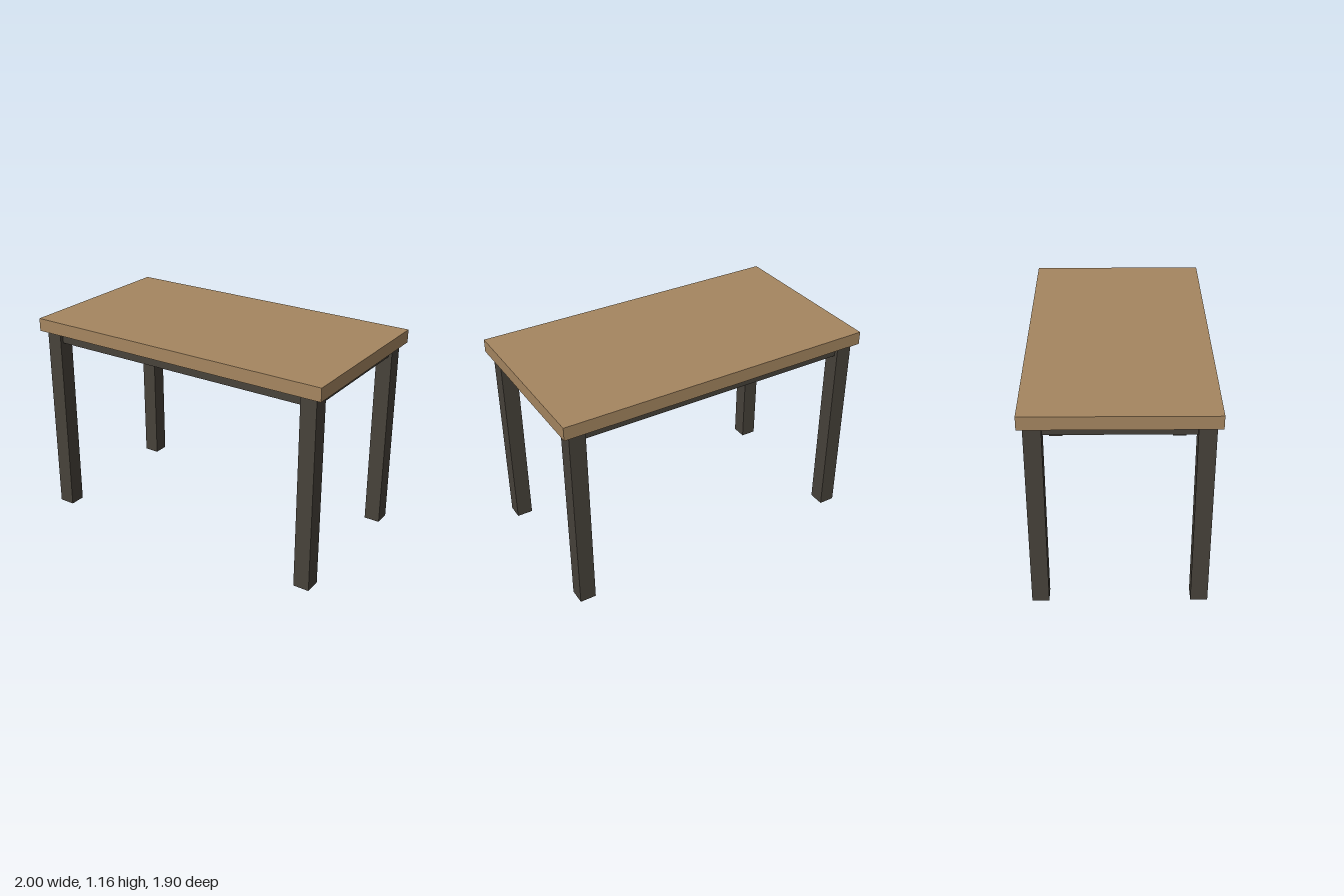
import * as THREE from 'three';

export function createModel() {
  const model = new THREE.Group();
  model.name = 'table';

  const wood = new THREE.MeshStandardMaterial({ color: 0xa58660 });
  wood.name = 'light wood';
  const frame = new THREE.MeshStandardMaterial({ color: 0x47423a });
  frame.name = 'dark frame';

  const LENGTH = 1.789, WIDTH = 0.98;
  const LEG = 0.09, LEG_X = 0.8145, LEG_Z = 0.419;
  const LEG_TOP = 1.088, TOP = 1.161;
  const RAIL = 0.05, RAIL_BOTTOM = 1.027;

  // Box spanning y0..y1, centred at x, z
  function addBox(name, material, w, d, y0, y1, x = 0, z = 0) {
    const mesh = new THREE.Mesh(new THREE.BoxGeometry(w, y1 - y0, d), material);
    mesh.name = name;
    mesh.position.set(x, (y0 + y1) / 2, z);
    model.add(mesh);
  }

  // Table top
  addBox('tableTop', wood, LENGTH, WIDTH, LEG_TOP, TOP);

  // Legs, one per corner
  for (const sx of [-1, 1])
    for (const sz of [-1, 1])
      addBox('leg', frame, LEG, LEG, 0, LEG_TOP, sx * LEG_X, sz * LEG_Z);

  // Rails between the legs, centred on the leg thickness
  for (const s of [-1, 1]) {
    addBox('longRail', frame, 2 * LEG_X - LEG, RAIL, RAIL_BOTTOM, LEG_TOP, 0, s * LEG_Z);
    addBox('shortRail', frame, RAIL, 2 * LEG_Z - LEG, RAIL_BOTTOM, LEG_TOP, s * LEG_X, 0);
  }

  // The whole table stands turned on the floor
  model.rotation.y = -THREE.MathUtils.degToRad(40);
  return model;
}
